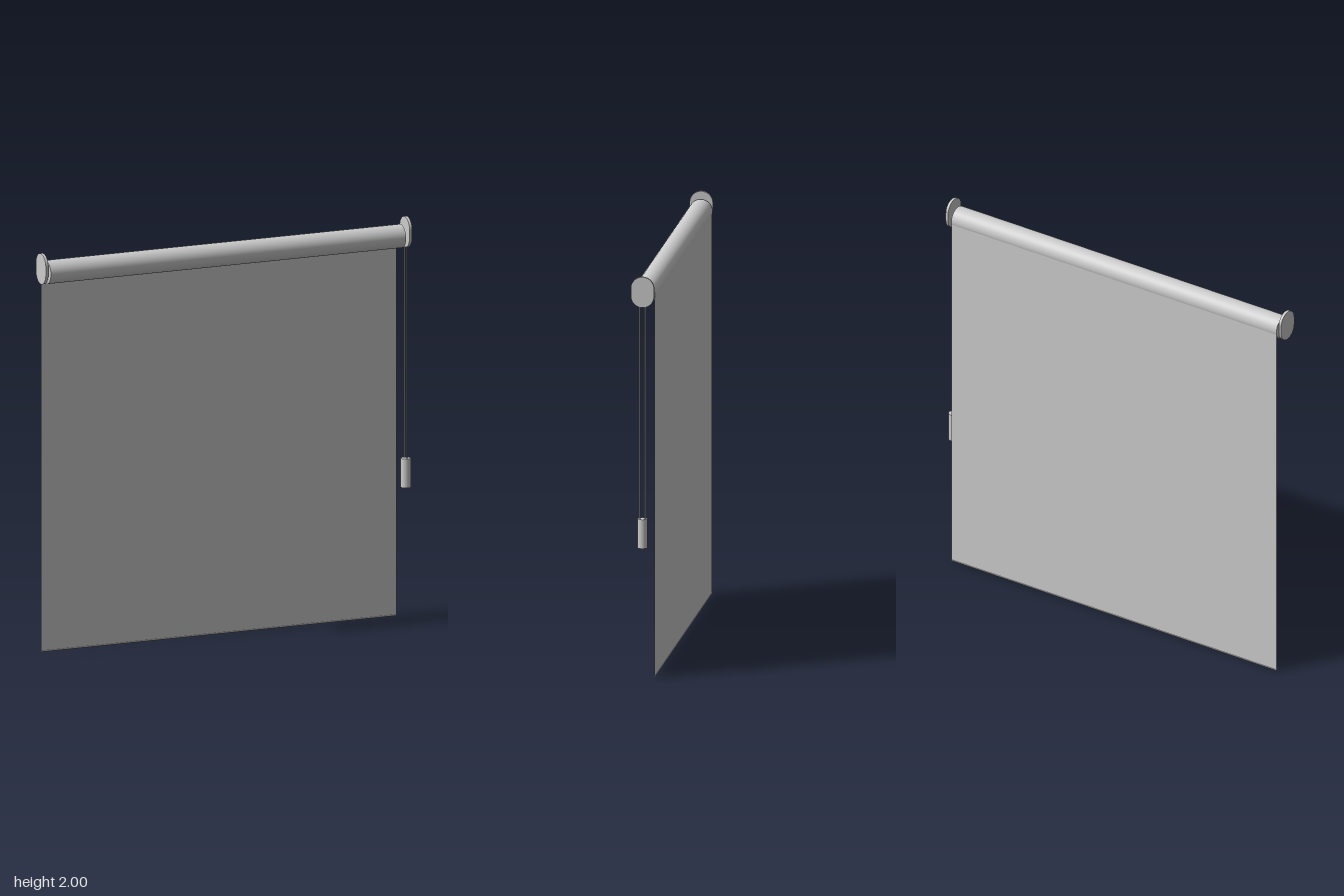
import * as THREE from 'three';

export function createModel() {
  const group = new THREE.Group();
  const mat = new THREE.MeshStandardMaterial({ color: 0xcccccc });
  const add = (name, geo, x, y, z) => {
    const mesh = new THREE.Mesh(geo, mat);
    mesh.name = name;
    mesh.position.set(x, y, z);
    group.add(mesh);
    return mesh;
  };

  const left = 0.94, right = -0.97;
  const width = left - right, mid = (left + right) / 2;
  const axisY = 1.905, rollR = 0.058, fabricZ = -0.055;
  const rod = (r, length) => new THREE.CylinderGeometry(r, r, length, 48).rotateZ(Math.PI / 2);

  // Rolled fabric tube, hanging sheet and hem bar
  add('fabricRoll', rod(rollR, width), mid, axisY, 0);
  add('fabricSheet', new THREE.BoxGeometry(width, axisY, 0.002), mid, axisY / 2, fabricZ);
  add('hemBar', rod(0.003, width), mid, 0.003, fabricZ);

  // Rounded end brackets: upright stadium plates
  const r = 0.057, topY = 2 - r - axisY;
  const plate = new THREE.Shape();
  plate.absarc(0, topY, r, 0, Math.PI, false);
  plate.absarc(0, 0, r, Math.PI, Math.PI * 2, false);
  plate.closePath();
  const thick = 0.014;
  const plateGeo = new THREE.ExtrudeGeometry(plate, { depth: thick, bevelEnabled: false, curveSegments: 32 })
    .translate(0, 0, -thick / 2).rotateY(Math.PI / 2);
  add('leftBracket', plateGeo, 0.966, axisY, 0);
  add('rightBracket', plateGeo, -0.99, axisY, 0);

  // Axle stubs between roll and brackets
  add('leftAxle', rod(0.015, 0.026), 0.949, 1.902, 0);
  add('rightAxle', rod(0.015, 0.026), -0.978, 1.902, 0);

  // Pull cords and their weight
  const cordX = 0.966, weightTop = 0.795, cordTop = 1.9;
  for (const side of [1, -1]) {
    const cord = new THREE.CylinderGeometry(0.003, 0.003, cordTop - weightTop + 0.02, 12);
    add(side > 0 ? 'frontCord' : 'backCord', cord, cordX, (cordTop + weightTop - 0.02) / 2, side * 0.0135);
  }
  add('cordWeight', new THREE.CylinderGeometry(0.025, 0.025, 0.145, 32), cordX, weightTop - 0.0725, 0);

  return group;
}
